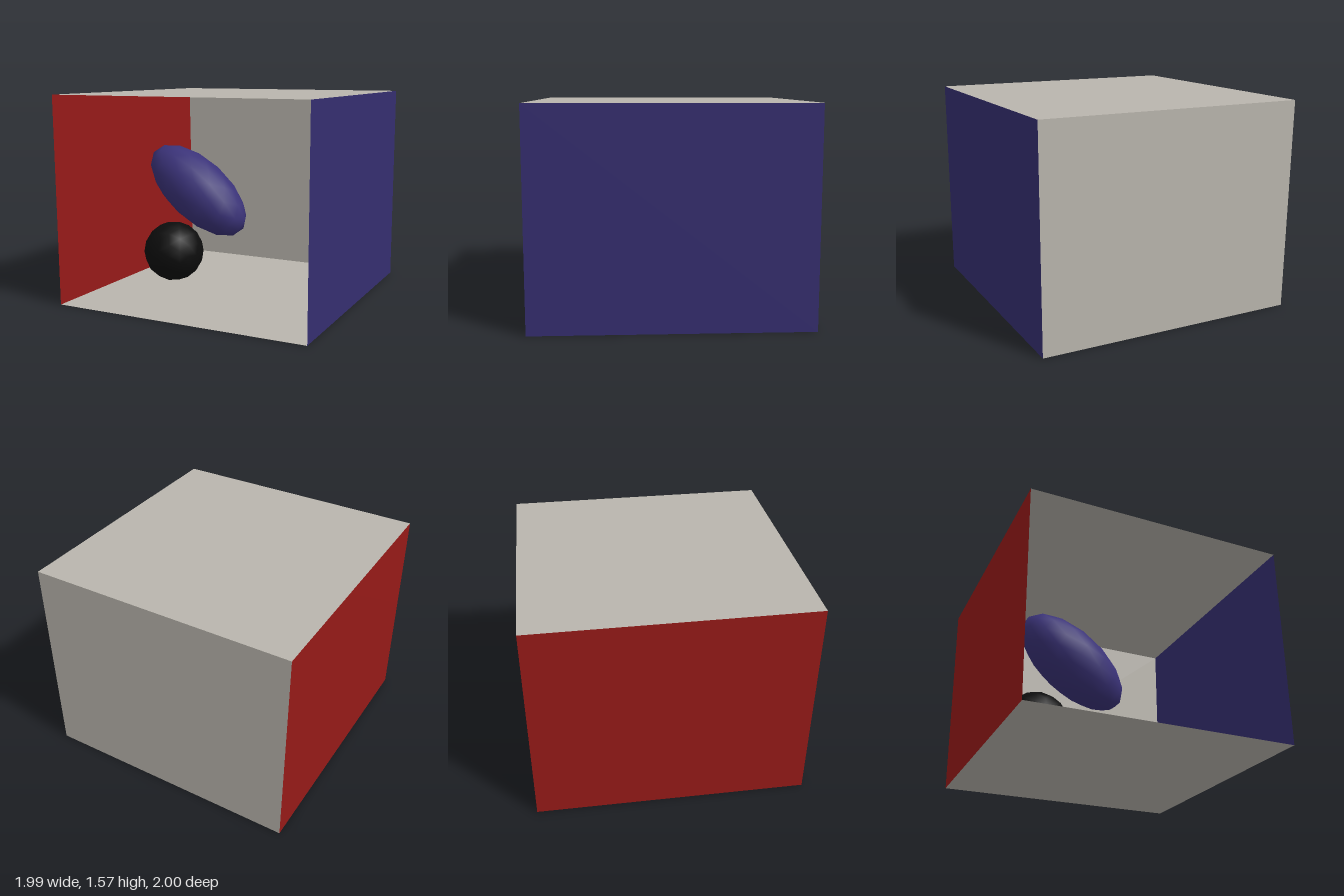
import * as THREE from 'three';

const W = 0.994, H = 1.567, D = 1; // half width, height, half depth

const paint = (color, side = THREE.FrontSide) => new THREE.MeshStandardMaterial({ color, side });

// Flat panel through four corners, counter-clockwise seen from inside the room
function panel(name, material, a, b, c, d) {
  const geometry = new THREE.BufferGeometry();
  geometry.setAttribute('position', new THREE.Float32BufferAttribute([...a, ...b, ...c, ...d], 3));
  geometry.setIndex([0, 1, 2, 0, 2, 3]);
  geometry.computeVertexNormals();
  const mesh = new THREE.Mesh(geometry, material);
  mesh.name = name;
  return mesh;
}

// Coarse, smooth-shaded ball, stretched by its three radii
function ball(name, material, radii, position, tilt = 0) {
  const mesh = new THREE.Mesh(new THREE.IcosahedronGeometry(1, 2), material);
  mesh.name = name;
  mesh.scale.set(...radii);
  mesh.position.set(...position);
  mesh.rotation.z = tilt;
  return mesh;
}

export function createModel() {
  const model = new THREE.Group();
  model.name = 'openRoom';

  const white = paint(0xb9b5ad, THREE.DoubleSide);
  const red = paint(0x961a18, THREE.DoubleSide);
  const blue = paint(0x352e70, THREE.DoubleSide);

  // Room corners; the red wall leans in slightly at the floor
  const floorFR = [-0.983, 0, D], floorBR = [-0.972, 0, -D];
  const floorFL = [W, 0, D], floorBL = [W, 0, -D];
  const topFR = [-W, H, D], topBR = [-W, H, -D];
  const topFL = [W, H, D], topBL = [W, H, -D];

  // Five panels, open at the front
  model.add(
    panel('floor', white, floorFR, floorFL, floorBL, floorBR),
    panel('ceiling', white, topFR, topBR, topBL, topFL),
    panel('backWall', white, floorBR, floorBL, topBL, topBR),
    panel('rightWall', red, floorFR, floorBR, topBR, topFR),
    panel('leftWall', blue, floorBL, floorFL, topFL, topBL),
  );

  // Objects inside the room
  model.add(
    ball('sphere', paint(0x0d0d0d), [0.246, 0.246, 0.246], [-0.57, 0.25, 0.03]),
    ball('ellipsoid', paint(0x3a3278), [0.49, 0.242, 0.242], [-0.31, 0.79, 0.077], -0.65),
  );
  return model;
}
